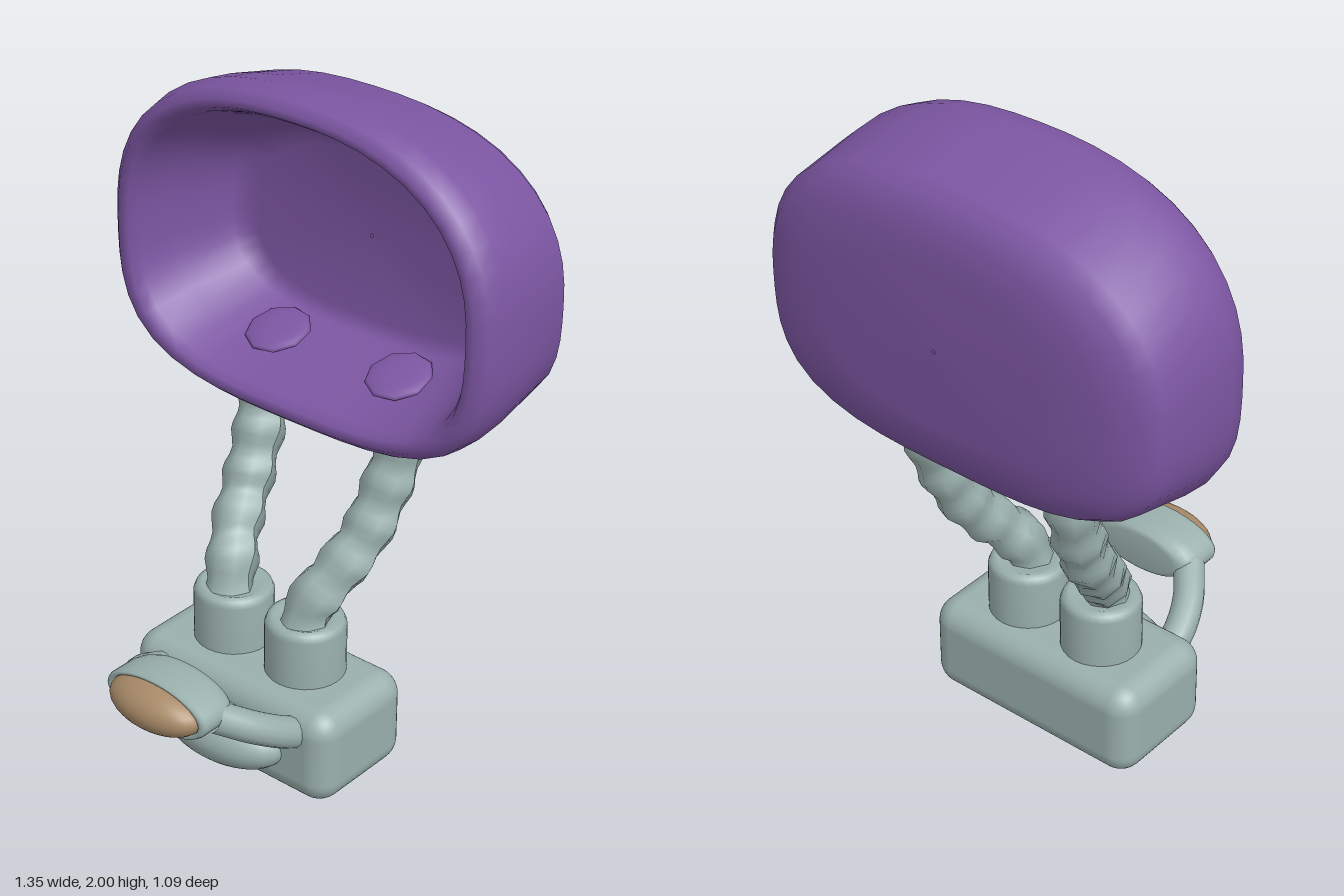
import * as THREE from 'three';
import { RoundedBoxGeometry } from 'three/addons/geometries/RoundedBoxGeometry.js';

const purple = new THREE.MeshStandardMaterial({ color: 0x7c56a2, side: THREE.DoubleSide });
const grey = new THREE.MeshStandardMaterial({ color: 0x9ab0ad });
const tan = new THREE.MeshStandardMaterial({ color: 0xa88a68 });
const V = (x, y, z) => new THREE.Vector3(x, y, z);

function add(parent, name, geometry, material, x = 0, y = 0, z = 0) {
  const mesh = new THREE.Mesh(geometry, material);
  mesh.name = name;
  mesh.position.set(x, y, z);
  parent.add(mesh);
  return mesh;
}

// Loft of rounded outlines along z; ring = [halfWidth, bottom, top, z]
function loftShell(rings, n = 48) {
  const pos = [], index = [];
  rings.forEach(([w, bottom, top, z]) => {
    const mid = bottom + 0.467 * (top - bottom);
    for (let j = 0; j < n; j++) {
      const a = (j / n) * Math.PI * 2, c = Math.cos(a), s = Math.sin(a);
      const p = s > 0 ? 2.4 : 3.2; // flatter floor than roof
      const r = Math.pow(Math.pow(Math.abs(c), p) + Math.pow(Math.abs(s), p), -1 / p);
      pos.push(w * c * r, mid + s * r * (s > 0 ? top - mid : mid - bottom), z);
    }
  });
  for (let i = 0; i < rings.length - 1; i++) {
    for (let j = 0; j < n; j++) {
      const k = (j + 1) % n, a = i * n + j, b = i * n + k;
      index.push(a, b, a + n, b, b + n, a + n);
    }
  }
  const g = new THREE.BufferGeometry();
  g.setAttribute('position', new THREE.Float32BufferAttribute(pos, 3));
  g.setIndex(index);
  g.computeVertexNormals();
  return g;
}

// Tube whose radius swells and narrows along its path
function bumpyTube(points, radius, bump, bumps) {
  const curve = new THREE.CatmullRomCurve3(points);
  const steps = 30, sides = 8;
  const g = new THREE.TubeGeometry(curve, steps, radius, sides);
  const p = g.attributes.position, v = V(0, 0, 0);
  for (let i = 0; i <= steps; i++) {
    const c = curve.getPointAt(i / steps);
    for (let j = 0; j <= sides; j++) {
      const k = i * (sides + 1) + j;
      const phase = (j % 2) * 1.2;
      const f = 1 + bump * Math.sin((i / steps) * bumps * Math.PI * 2 + phase);
      v.fromBufferAttribute(p, k).sub(c).multiplyScalar(f).add(c);
      p.setXYZ(k, v.x, v.y, v.z);
    }
  }
  g.computeVertexNormals();
  return g;
}

const lathe = (pts, sides) =>
  new THREE.LatheGeometry(pts.map(([r, y]) => new THREE.Vector2(r, y)), sides);

export function createModel() {
  const model = new THREE.Group();
  model.name = 'model';

  // Hollow head: back, outer wall, rolled rim, inner wall, inner back
  add(model, 'headShell', loftShell([
    [0.005, 1.5, 1.51, -0.545], [0.35, 1.27, 1.75, -0.541], [0.52, 1.17, 1.85, -0.53],
    [0.625, 1.11, 1.915, -0.495], [0.665, 1.09, 1.94, -0.45], [0.675, 1.042, 1.985, -0.27],
    [0.675, 1.027, 2.0, -0.18], [0.662, 1.03, 1.988, -0.12], [0.632, 1.053, 1.965, -0.092],
    [0.602, 1.08, 1.94, -0.1], [0.585, 1.095, 1.922, -0.13], [0.56, 1.13, 1.88, -0.25],
    [0.495, 1.19, 1.79, -0.43], [0.42, 1.23, 1.73, -0.46], [0.005, 1.48, 1.49, -0.465],
  ]), purple);

  // Base block, with the bulge at its front
  add(model, 'base', new RoundedBoxGeometry(0.75, 0.305, 0.385, 4, 0.075), grey, 0, 0.157, -0.015);
  add(model, 'frontBulge', new THREE.SphereGeometry(1, 28, 16), grey, 0, 0.143, 0.175)
    .scale.set(0.22, 0.097, 0.12);

  for (const s of [-1, 1]) {
    const side = s > 0 ? 'left' : 'right';

    // Leg socket and bumpy leg
    add(model, side + 'Socket', lathe([
      [0.12, 0], [0.12, 0.165], [0.112, 0.185], [0.095, 0.192], [0.08, 0.185], [0.001, 0.175],
    ], 28), grey, s * 0.137, 0.298, -0.025);
    add(model, side + 'Leg', bumpyTube([
      V(s * 0.14, 0.42, 0), V(s * 0.152, 0.53, -0.03), V(s * 0.19, 0.62, -0.095),
      V(s * 0.222, 0.72, -0.18), V(s * 0.24, 0.85, -0.25), V(s * 0.253, 0.97, -0.292),
      V(s * 0.247, 1.1, -0.305),
    ], 0.074, 0.1, 6), grey);

    // Leg-end pad on the sloping floor inside the head
    const pad = add(model, side + 'Pad', new THREE.SphereGeometry(0.1, 9, 8), purple,
      s * 0.222, 1.172, -0.32);
    pad.scale.y = 0.18;
    pad.rotation.x = 0.32;

    // Curved arm holding the front nozzle
    add(model, side + 'Arm', new THREE.TubeGeometry(new THREE.CatmullRomCurve3([
      V(s * 0.25, 0.21, 0.12), V(s * 0.247, 0.25, 0.2), V(s * 0.215, 0.3, 0.29),
      V(s * 0.15, 0.355, 0.38),
    ]), 16, 0.047, 14), grey);
  }

  // Oval nozzle with a domed tip
  const nozzle = add(model, 'nozzle', lathe([
    [0.001, 0], [0.7, 0], [0.86, 0.008], [0.95, 0.028], [1, 0.06], [1, 0.135], [0.97, 0.147],
    [0.88, 0.147], [0.85, 0.135], [0.001, 0.13],
  ], 32), grey, 0, 0.37, 0.32);
  nozzle.rotation.x = Math.PI / 2;
  nozzle.scale.set(0.187, 1, 0.082);
  add(model, 'nozzleTip', new THREE.SphereGeometry(1, 28, 16), tan, 0, 0.37, 0.46)
    .scale.set(0.162, 0.071, 0.085);

  return model;
}
